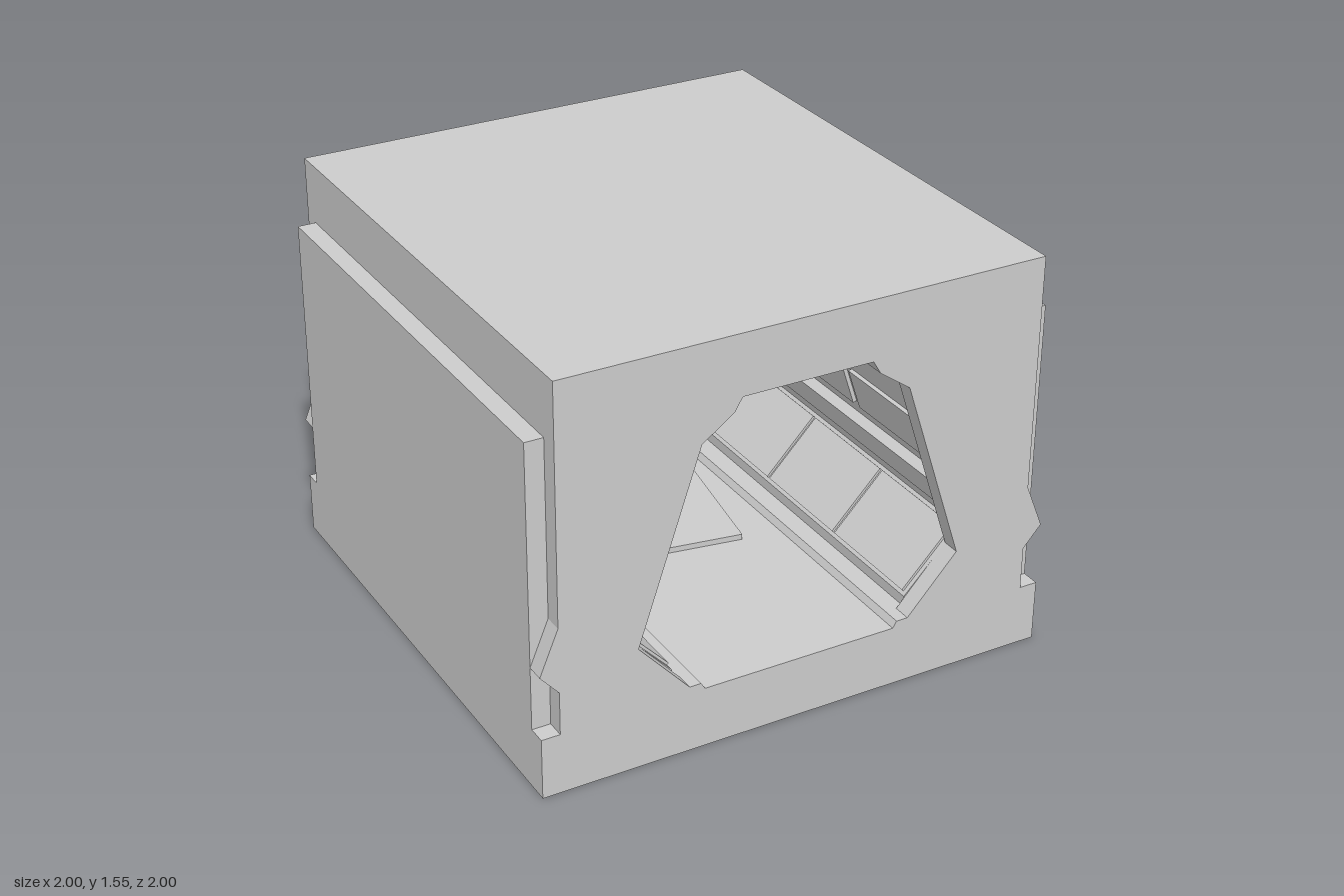
import * as THREE from 'three';

const grey = () => new THREE.MeshStandardMaterial({ color: 0xcccccc, flatShading: true });

// Closed symmetric outline from its +x half, listed bottom to top
function mirrored(half, PathType) {
  const left = half.map(([x, y]) => [-x, y]).reverse();
  return new PathType([...half, ...left].map(([x, y]) => new THREE.Vector2(x, y)));
}

function extruded(name, outer, hole, z0, depth) {
  const shape = mirrored(outer, THREE.Shape);
  shape.holes.push(mirrored(hole, THREE.Path));
  const geo = new THREE.ExtrudeGeometry(shape, { depth, bevelEnabled: false });
  geo.translate(0, 0, z0);
  const mesh = new THREE.Mesh(geo, grey());
  mesh.name = name;
  return mesh;
}

function box(name, size, pos, rotY = 0, rotZ = 0) {
  const mesh = new THREE.Mesh(new THREE.BoxGeometry(...size), grey());
  mesh.name = name;
  mesh.position.set(...pos);
  mesh.rotation.set(0, rotY, rotZ);
  return mesh;
}

export function createModel() {
  const group = new THREE.Group();
  group.name = 'corridorSection';

  // End frames: notched sides around the doorway opening
  const frameOuter = [[1, 0], [1, 0.235], [0.93, 0.235], [0.93, 0.4], [1, 0.48],
    [0.93, 0.65], [0.93, 1.55]];
  const opening = [[0.38, 0.235], [0.395, 0.26], [0.44, 0.26], [0.635, 0.475],
    [0.4, 1.185], [0.28, 1.27], [0.25, 1.32]];
  group.add(extruded('frontFrame', frameOuter, opening, 0.93, 0.07));
  group.add(extruded('backFrame', frameOuter, opening, -1, 0.07));

  // Body with side panels outside and a recessed passage inside
  const bodyOuter = [[1, 0], [1, 1.32], [0.93, 1.32], [0.93, 1.55]];
  const passage = [[0.38, 0.235], [0.395, 0.26], [0.47, 0.26], [0.47, 0.3],
    [0.69, 0.53], [0.67, 0.6], [0.58, 0.66], [0.55, 0.755], [0.585, 0.775],
    [0.46, 1.15], [0.4, 1.185], [0.28, 1.27], [0.25, 1.32], [0.25, 1.36]];
  group.add(extruded('body', bodyOuter, passage, -0.93, 1.86));

  // Rows of wall plates: upper walls and lower slopes
  for (const side of [-1, 1]) {
    for (let i = 0; i < 4; i++) {
      const z = -0.69 + i * 0.46;
      group.add(box('upperWallPlate', [0.02, 0.17, 0.42], [side * 0.535, 0.91, z], 0, side * 0.32));
      group.add(box('lowerWallPlate', [0.02, 0.29, 0.445], [side * 0.58, 0.415, z], 0, -side * 0.763));
    }
  }

  // Loose plates: one tipped off the wall, one lying on the floor
  group.add(box('looseWallPlate', [0.015, 0.17, 0.42], [-0.522, 0.79, -0.37], 0, -0.386));
  group.add(box('looseFloorPlate', [0.45, 0.022, 0.865], [0.07, 0.247, -0.235], -0.16));

  // Hanging ceiling cables: x, start z, length, lowest y, sideways drift
  const cables = [[-0.18, -0.8, 0.4, 1.235, 0.02], [-0.095, -0.3, 0.35, 1.295, 0.01],
    [0.02, -0.9, 0.42, 1.18, 0.01], [0.1, -0.55, 0.4, 1.235, -0.02],
    [-0.17, 0.2, 0.4, 1.295, 0.02], [0.11, 0.35, 0.35, 1.295, 0.01]];
  for (const [x, z, length, low, drift] of cables) {
    const curve = new THREE.CatmullRomCurve3([
      [x - drift, 1.37, z], [x, low + 0.04, z + length * 0.22], [x, low, z + length * 0.45],
      [x, low + 0.04, z + length * 0.72], [x + drift, 1.37, z + length],
    ].map((p) => new THREE.Vector3(...p)));
    const cable = new THREE.Mesh(new THREE.TubeGeometry(curve, 16, 0.013, 8),
      new THREE.MeshStandardMaterial({ color: 0xcccccc }));
    cable.name = 'ceilingCable';
    group.add(cable);
  }
  return group;
}
